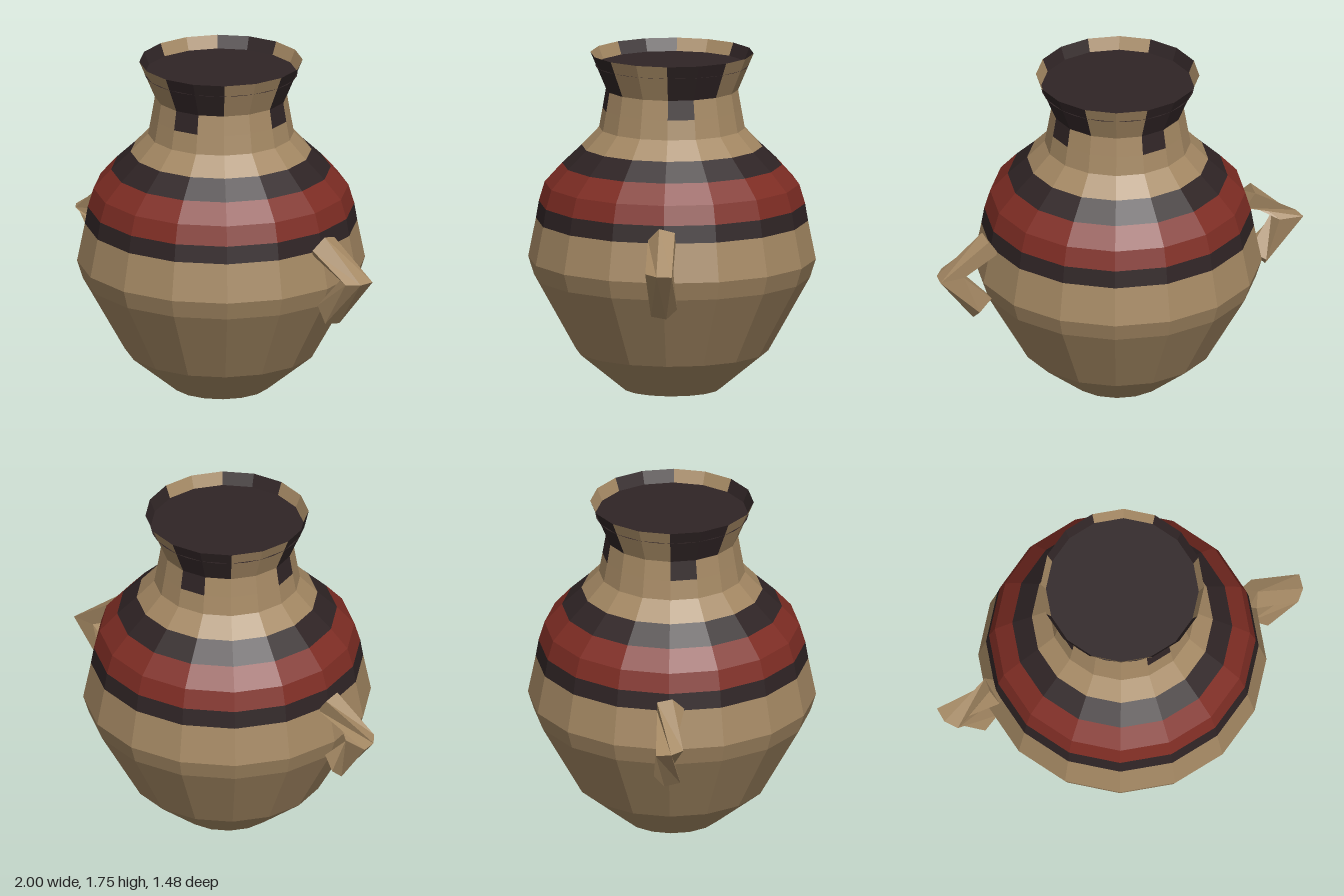
import * as THREE from 'three';

const SIDES = 16;
const STEP = (Math.PI * 2) / SIDES;

function makeMaterial(name, color) {
  const m = new THREE.MeshStandardMaterial({ color, flatShading: true, side: THREE.DoubleSide });
  m.name = name;
  return m;
}

// Faceted ring of the pot; first and count pick facets, counted from the front towards +x
function ring(name, profile, material, first = 0, count = SIDES) {
  const pts = profile.map(([r, y]) => new THREE.Vector2(r, y));
  const mesh = new THREE.Mesh(new THREE.LatheGeometry(pts, count, first * STEP, count * STEP), material);
  mesh.name = name;
  return mesh;
}

// Skin over five-cornered cross-sections, with closed ends
function loft(sections) {
  const n = sections[0].length;
  const index = [];
  for (let s = 0; s < sections.length - 1; s++) {
    for (let i = 0; i < n; i++) {
      const a = s * n + i, b = s * n + (i + 1) % n;
      index.push(a, b, a + n, b, b + n, a + n);
    }
  }
  const last = (sections.length - 1) * n;
  for (let i = 1; i < n - 1; i++) {
    index.push(0, i + 1, i, last, last + i, last + i + 1);
  }
  const g = new THREE.BufferGeometry();
  g.setAttribute('position', new THREE.Float32BufferAttribute(sections.flat(2), 3));
  g.setIndex(index);
  g.computeVertexNormals();
  return g;
}

const shift = (list, k) => list.map((_, i) => list[(i + k + list.length) % list.length]);

// Bent, twisted handle: top end, elbow, lower end
const handleTop = [[0.74, 0.965, 0.02], [0.735, 0.945, -0.06], [0.68, 0.87, -0.06], [0.68, 0.865, 0.05], [0.71, 0.9, 0.08]];
const handleElbow = [[0.99, 0.76, 0.02], [1, 0.76, -0.06], [0.87, 0.765, -0.06], [0.865, 0.765, 0.04], [0.94, 0.765, 0.08]];
const handleFoot = [[0.805, 0.505, -0.02], [0.79, 0.555, -0.075], [0.71, 0.605, -0.04], [0.7, 0.59, 0.03], [0.78, 0.515, 0.06]];

function handle(name, side, topTwist, material) {
  const sections = [shift(handleTop, topTwist), handleElbow, shift(handleFoot, -1)];
  const mirrored = sections.map(s => s.map(([x, y, z]) => [x * side, y, z]));
  if (side > 0) mirrored.reverse();
  const mesh = new THREE.Mesh(loft(mirrored), material);
  mesh.name = name;
  return mesh;
}

export function createModel() {
  const clay = makeMaterial('clay', 0xa48863);
  const red = makeMaterial('red glaze', 0x7f2d24);
  const dark = makeMaterial('dark glaze', 0x2f2425);
  const group = new THREE.Group();
  group.name = 'pot';

  // Body and painted bands
  group.add(
    ring('base', [[0, 0], [0.25, 0]], clay),
    ring('body', [[0.25, 0], [0.495, 0.2], [0.71, 0.585], [0.74, 0.68], [0.7, 0.88]], clay),
    ring('lowerDarkBand', [[0.7, 0.88], [0.685, 0.97]], dark),
    ring('redBand', [[0.685, 0.97], [0.655, 1.07], [0.565, 1.17]], red),
    ring('upperDarkBand', [[0.565, 1.17], [0.465, 1.265]], dark),
    ring('shoulder', [[0.465, 1.265], [0.375, 1.36], [0.357, 1.46]], clay)
  );

  // Neck and flared rim, with a stepped dark drip in each quarter
  const neck = [[0.357, 1.46], [0.34, 1.56]];
  const rim = [[0.34, 1.56], [0.42, 1.75]];
  for (let q = 0; q < 4; q++) {
    const f = q * 4;
    group.add(
      ring('neckDrip', neck, dark, f, 1),
      ring('neck', neck, clay, f + 1, 3),
      ring('rimDrip', rim, dark, f, 2),
      ring('rim', rim, clay, f + 2, 2)
    );
  }

  // Dark contents just below the rim
  const contents = new THREE.Mesh(new THREE.CircleGeometry(0.394, 32), dark);
  contents.name = 'contents';
  contents.rotation.x = -Math.PI / 2;
  contents.position.y = 1.685;
  group.add(contents);

  group.add(handle('leftHandle', 1, 0, clay), handle('rightHandle', -1, 1, clay));
  return group;
}
